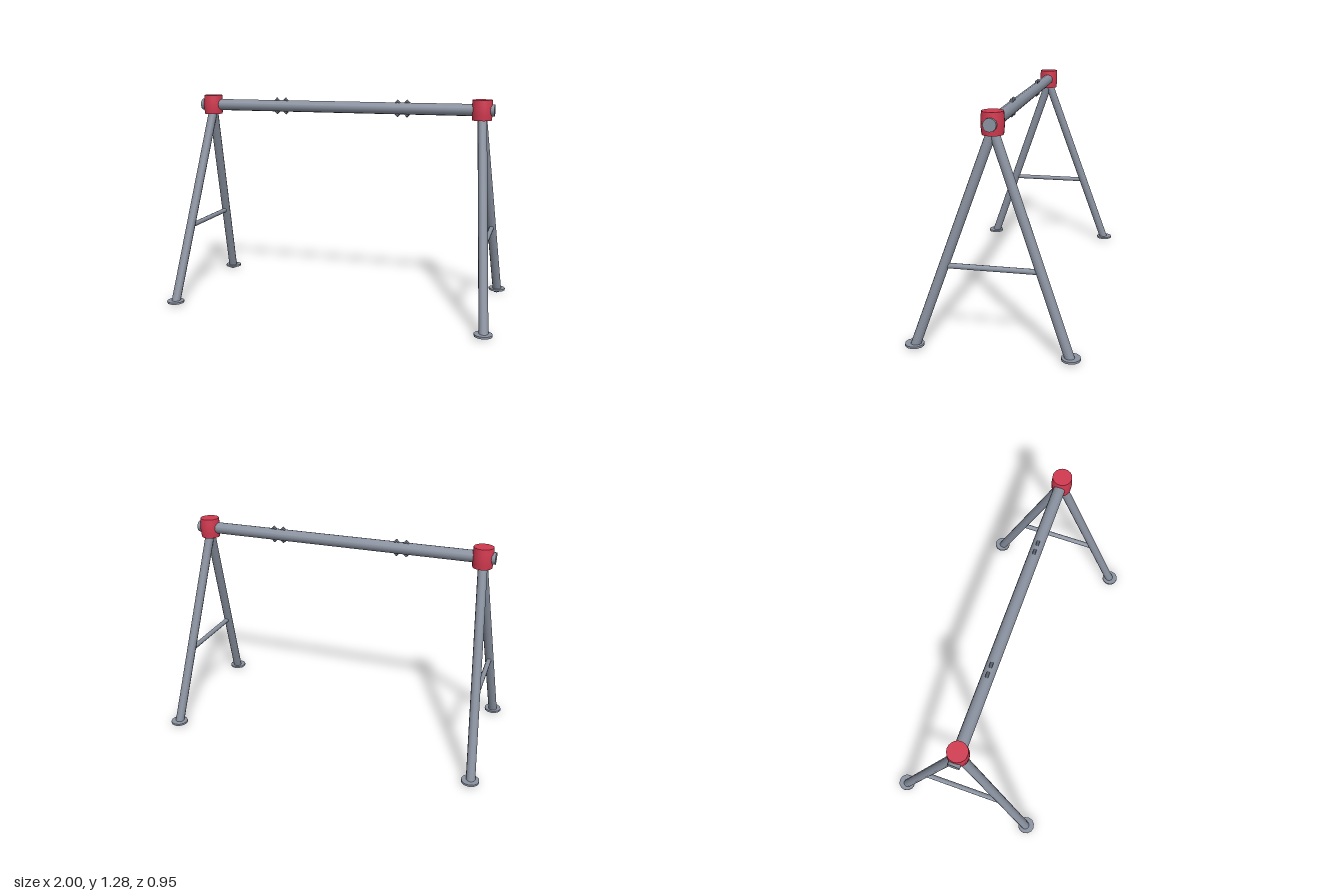
import * as THREE from 'three';

const steel = new THREE.MeshStandardMaterial({ color: 0x8a92a0 });
steel.name = 'steel';
const darkSteel = new THREE.MeshStandardMaterial({ color: 0x5c626c });
darkSteel.name = 'darkSteel';
const red = new THREE.MeshStandardMaterial({ color: 0xd23a50 });
red.name = 'red';

const BEAM_Y = 1.215;

function add(parent, name, geometry, material, x = 0, y = 0, z = 0) {
  const mesh = new THREE.Mesh(geometry, material);
  mesh.name = name;
  mesh.position.set(x, y, z);
  parent.add(mesh);
  return mesh;
}

// Round tube between two points
function addTube(parent, name, a, b, radius, sides) {
  const dir = b.clone().sub(a);
  const mesh = add(parent, name, new THREE.CylinderGeometry(radius, radius, dir.length(), sides), steel);
  mesh.position.copy(a).add(b).multiplyScalar(0.5);
  mesh.quaternion.setFromUnitVectors(new THREE.Vector3(0, 1, 0), dir.normalize());
}

// Slightly barrel-shaped corner joint with flat caps
function jointGeometry() {
  const side = [[0.056, -0.059], [0.059, -0.03], [0.061, 0], [0.059, 0.03], [0.057, 0.059]];
  const profile = [[0, -0.059], side[0], ...side, side[4], [0, 0.059]];
  return new THREE.LatheGeometry(profile.map(([r, y]) => new THREE.Vector2(r, y)), 20);
}

export function createModel() {
  const model = new THREE.Group();
  model.name = 'swingFrame';
  const v = (x, y, z) => new THREE.Vector3(x, y, z);

  addTube(model, 'topBeam', v(-0.925, BEAM_Y, 0), v(0.925, BEAM_Y, 0), 0.035, 12);

  for (const s of [1, -1]) {
    const end = new THREE.Group();
    end.name = s > 0 ? 'leftEndFrame' : 'rightEndFrame';
    model.add(end);

    add(end, 'joint', jointGeometry(), red, s * 0.853, 1.216, 0);

    // Splayed legs with round foot plates
    for (const f of [1, -1]) {
      addTube(end, 'leg', v(s * 0.95, 0.009, f * 0.418), v(s * 0.854, 1.185, 0), 0.027, 12);
      add(end, 'footPlate', new THREE.CylinderGeometry(0.052, 0.052, 0.012, 12), steel, s * 0.948, 0.018, f * 0.421);
    }

    addTube(end, 'crossBar', v(s * 0.913, 0.467, -0.255), v(s * 0.913, 0.467, 0.255), 0.015, 10);

    // Paired four-sided hanger rings piercing the beam
    for (const x of [0.355, 0.413]) {
      add(end, 'hangerRing', new THREE.TorusGeometry(0.043, 0.01, 6, 4), darkSteel, s * x, BEAM_Y, 0);
    }
  }
  return model;
}
